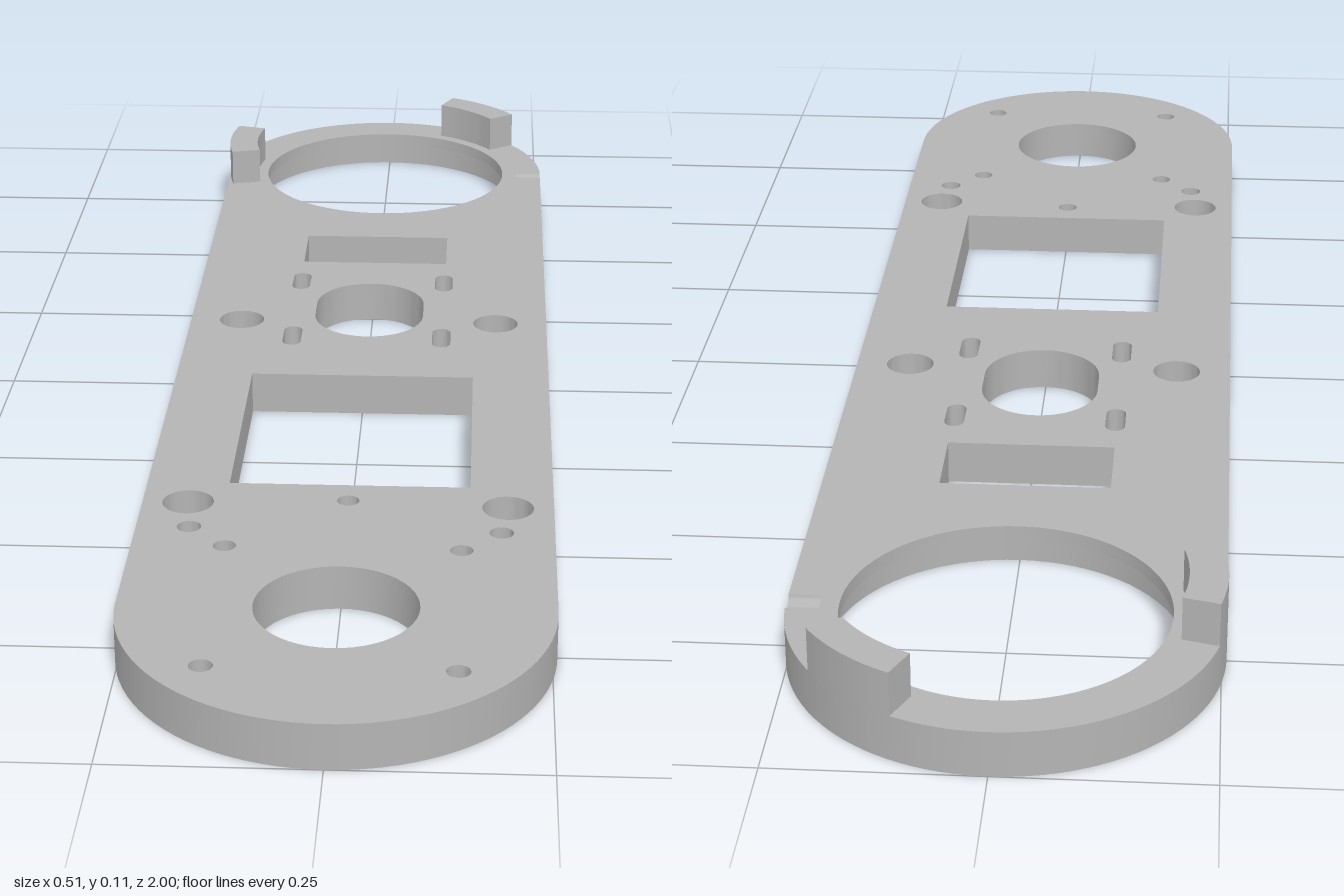
import * as THREE from 'three';
import { mergeGeometries, toCreasedNormals } from 'three/addons/utils/BufferGeometryUtils.js';

// Plan coordinates: x to the right, y towards the back (y = -z).
const T = 0.057, R = 0.256, CY = 0.744;       // plate thickness, end radius, end centres
const LIP_R = 0.194, SEAT_R = 0.211, SEAT_Y = 0.04;
const NOTCH = { x: 0.216, half: 0.016, depth: 0.01 };
const TAB_TOP = 0.112;

const arc = (cx, cy, r, a0, a1, n) => Array.from({ length: n + 1 }, (_, i) => {
  const a = THREE.MathUtils.degToRad(a0 + (a1 - a0) * i / n);
  return new THREE.Vector2(cx + r * Math.cos(a), cy + r * Math.sin(a));
});
const circle = (x, y, r, n = 32) => arc(x, y, r, 0, 360, n).slice(0, -1);
const rect = (x0, y0, x1, y1) =>
  [[x0, y0], [x1, y0], [x1, y1], [x0, y1]].map(([x, y]) => new THREE.Vector2(x, y));
const slot = (x, y0, y1, r, n = 16) =>
  [...arc(x, y0 + r, r, 180, 360, n), ...arc(x, y1 - r, r, 0, 180, n)];

// Flat face with holes, facing up or down
function cap(outline, holes, y, up) {
  const shape = new THREE.Shape(outline);
  shape.holes = holes.map((h) => new THREE.Path(h));
  const g = new THREE.ShapeGeometry(shape).rotateX(-Math.PI / 2).translate(0, y, 0);
  if (!up) {
    const ix = g.index.array;
    for (let i = 0; i < ix.length; i += 3) [ix[i], ix[i + 1]] = [ix[i + 1], ix[i]];
  }
  g.deleteAttribute('uv');
  g.computeVertexNormals();
  return g.toNonIndexed();
}

// Upright wall along a closed loop; its top may vary along the loop
function wall(loop, y0, top, inward = false) {
  const pts = inward ? [...loop].reverse() : loop;
  const pos = [];
  pts.forEach((a, i) => {
    const b = pts[(i + 1) % pts.length];
    const ya = typeof top === 'function' ? top(a) : top;
    const yb = typeof top === 'function' ? top(b) : top;
    pos.push(a.x, y0, -a.y, b.x, y0, -b.y, b.x, yb, -b.y);
    pos.push(a.x, y0, -a.y, b.x, yb, -b.y, a.x, ya, -a.y);
  });
  return finish(pos);
}

function finish(pos) {
  const g = new THREE.BufferGeometry();
  g.setAttribute('position', new THREE.Float32BufferAttribute(pos, 3));
  g.computeVertexNormals();
  return toCreasedNormals(g, 0.6);
}

const grooveY = (y) =>
  T - NOTCH.depth * Math.sqrt(Math.max(0, 1 - ((y - CY) / NOTCH.half) ** 2));

function plateGeometry() {
  // Rounded outline, with the index groove on its left edge
  const groove = Array.from({ length: 13 }, (_, i) =>
    new THREE.Vector2(R, CY - NOTCH.half * Math.cos(Math.PI * i / 12)));
  const front = arc(0, -CY, R, 180, 360, 48);
  const back = arc(0, CY, R, 5, 180, 48);
  const outline = [...front, ...groove, ...back];
  const topOutline = [...front, groove[0],
    new THREE.Vector2(NOTCH.x, CY - NOTCH.half),
    new THREE.Vector2(NOTCH.x, CY + NOTCH.half), groove[12], ...back];

  // Straight-through openings
  const holes = [
    rect(-0.108, 0.335, 0.108, 0.445),
    rect(-0.152, -0.427, 0.152, -0.087),
    slot(0, 0.05, 0.25, 0.078, 24),
    circle(0, -0.741, 0.097, 48),
    circle(0, -0.47, 0.014, 20),
  ];
  for (const s of [-1, 1]) {
    holes.push(
      slot(s * 0.106, 0.225, 0.288, 0.013, 10),
      slot(s * 0.106, 0.016, 0.082, 0.013, 10),
      circle(s * 0.183, 0.105, 0.032),
      circle(s * 0.199, -0.482, 0.032),
      circle(s * 0.191, -0.549, 0.015, 20),
      circle(s * 0.143, -0.597, 0.014, 20),
      circle(s * 0.143, -0.883, 0.014, 20));
  }

  // Large ring opening: thin lip above a wider seat
  const lip = circle(0, CY, LIP_R, 80), seat = circle(0, CY, SEAT_R, 80);

  // Floor and end of the index groove
  const floor = [];
  for (let i = 0; i < 12; i++) {
    const a = groove[i].y, b = groove[i + 1].y, ya = grooveY(a), yb = grooveY(b), x = NOTCH.x;
    floor.push(x, ya, -a, R, ya, -a, R, yb, -b, x, ya, -a, R, yb, -b, x, yb, -b);
    floor.push(x, ya, -a, x, yb, -b, x, T, -b, x, ya, -a, x, T, -b, x, T, -a);
  }

  return mergeGeometries([
    cap(topOutline, [...holes, lip], T, true),
    cap(outline, [...holes, seat], 0, false),
    cap(seat, [lip], SEAT_Y, false),
    wall(outline, 0, (p) => (p.x > R - 1e-6 ? grooveY(p.y) : T)),
    wall(lip, SEAT_Y, T, true),
    wall(seat, 0, SEAT_Y, true),
    ...holes.map((h) => wall(h, 0, T, true)),
    finish(floor),
  ]);
}

// Curved retaining tab standing on the ring
function tabGeometry(a0, a1) {
  const loop = [...arc(0, CY, R, a0, a1, 12), ...arc(0, CY, SEAT_R, a1, a0, 12)];
  return mergeGeometries([cap(loop, [], TAB_TOP, true), wall(loop, T, TAB_TOP)]);
}

export function createModel() {
  const model = new THREE.Group();
  model.name = 'mountingPlate';
  const grey = new THREE.MeshStandardMaterial({ color: 0xb4b4b4 });
  grey.name = 'grey';

  const add = (name, geometry) => {
    const mesh = new THREE.Mesh(geometry, grey);
    mesh.name = name;
    model.add(mesh);
  };
  add('plate', plateGeometry());
  add('sideTab', tabGeometry(165, 195));
  add('backTab', tabGeometry(35, 65));
  return model;
}
